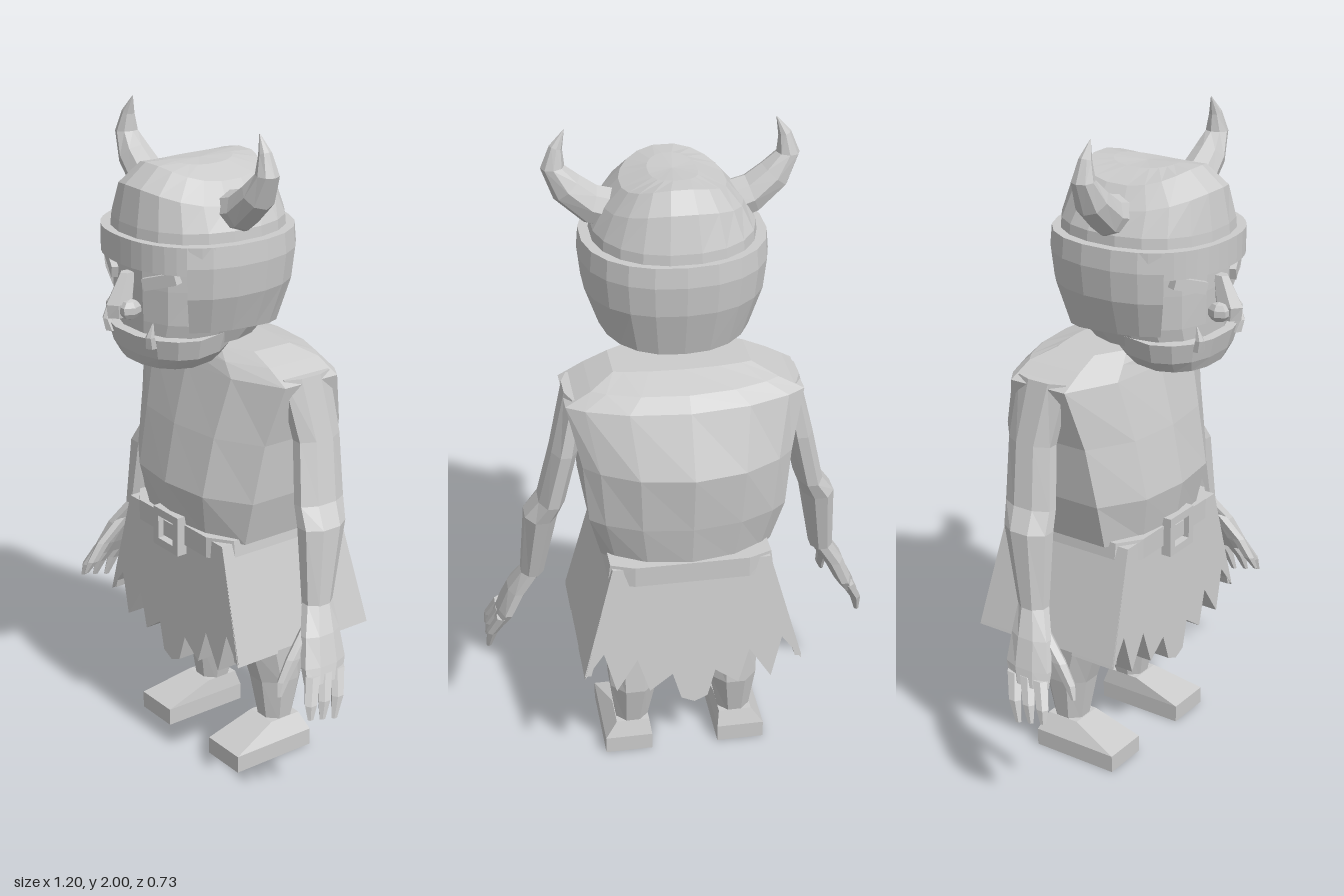
import * as THREE from 'three';

const material = new THREE.MeshStandardMaterial({ color: 0xcccccc, flatShading: true, side: THREE.DoubleSide });

function add(parent, name, geometry) {
  const mesh = new THREE.Mesh(geometry, material);
  mesh.name = name;
  parent.add(mesh);
  return mesh;
}

// Skin a list of equal closed rings, cap both ends and turn the faces outward
function loft(rings) {
  const n = rings[0].length, pos = [], idx = [];
  rings.forEach(r => r.forEach(p => pos.push(...p)));
  for (let i = 0; i < rings.length - 1; i++) for (let j = 0; j < n; j++) {
    const a = i * n + j, b = i * n + (j + 1) % n;
    idx.push(a, a + n, b, b, a + n, b + n);
  }
  [[0, false], [rings.length - 1, true]].forEach(([i, end]) => {
    const c = pos.length / 3;
    pos.push(...[0, 1, 2].map(k => rings[i].reduce((s, p) => s + p[k], 0) / n));
    for (let j = 0; j < n; j++) {
      const a = i * n + j, b = i * n + (j + 1) % n;
      end ? idx.push(c, b, a) : idx.push(c, a, b);
    }
  });
  const v = i => new THREE.Vector3(pos[3 * i], pos[3 * i + 1], pos[3 * i + 2]);
  let volume = 0;
  for (let t = 0; t < idx.length; t += 3) volume += v(idx[t]).dot(v(idx[t + 1]).cross(v(idx[t + 2])));
  if (volume < 0) idx.reverse();
  const g = new THREE.BufferGeometry();
  g.setAttribute('position', new THREE.Float32BufferAttribute(pos, 3));
  g.setIndex(idx);
  const flat = g.toNonIndexed();
  flat.computeVertexNormals();
  return flat;
}

// Horizontal oval ring; power below 1 makes it boxier
function oval(x, y, z, rx, rz, n = 8, power = 1) {
  const f = c => Math.sign(c) * Math.abs(c) ** power;
  return Array.from({ length: n }, (_, i) => {
    const t = (i + 0.5) / n * Math.PI * 2;
    return [x + rx * f(Math.cos(t)), y, z + rz * f(Math.sin(t))];
  });
}
const limb = (rows, s = 1, n = 8) => loft(rows.map(([x, y, z, rx, rz]) => oval(s * x, y, z, rx, rz, n)));
const rect = (x0, x1, y, z0, z1) => [[x0, y, z0], [x1, y, z0], [x1, y, z1], [x0, y, z1]];

function buildTorso(root) {
  // y, half width, front, side front, side back, back
  const rows = [
    [0.77, 0.255, 0.15, 0.07, -0.20, -0.31], [0.91, 0.29, 0.175, 0.07, -0.23, -0.335],
    [1.09, 0.305, 0.14, 0.04, -0.23, -0.36], [1.27, 0.345, 0.095, 0, -0.19, -0.285],
    [1.31, 0.27, 0.085, 0, -0.18, -0.25], [1.34, 0.2, 0.07, 0, -0.13, -0.15]];
  add(root, 'torso', loft(rows.map(([y, w, f, sf, sb, b]) => {
    const half = [[0.55 * w, f - 0.02], [w, sf], [w, sb], [0.85 * w, sb + (b - sb) * 0.35], [0.5 * w, sb + (b - sb) * 0.8]];
    return [[0, y, f], ...half.map(([x, z]) => [x, y, z]), [0, y, b],
      ...half.reverse().map(([x, z]) => [-x, y, z])];
  })));
  add(root, 'neck', limb([[0, 1.25, -0.03, 0.07, 0.06], [0, 1.42, 0.03, 0.06, 0.06]]));
}

function buildSkirt(root) {
  // Ragged panels, cut deep into the hem
  const teeth = [[0.33, 0.42], [0.27, 0.5], [0.235, 0.37], [0.17, 0.47], [0.135, 0.36], [0.065, 0.41], [0.04, 0.325]];
  const outline = [[0.235, 0.775], ...teeth, [0, 0.308], ...teeth.map(([x, y]) => [-x, y]).reverse(), [-0.235, 0.775]];
  const panel = (name, zIn, outer) => {
    const shape = new THREE.Shape(outline.map(p => new THREE.Vector2(...p)));
    const g = new THREE.ExtrudeGeometry(shape, { depth: 1, bevelEnabled: false });
    const p = g.attributes.position;
    for (let i = 0; i < p.count; i++) {
      const k = p.getZ(i), zOut = outer(p.getY(i));
      p.setZ(i, zIn < -0.1 ? zOut + (zIn - zOut) * k : zIn + (zOut - zIn) * k);
    }
    g.computeVertexNormals();
    add(root, name, g);
  };
  panel('skirtFront', 0, y => 0.14 + (0.775 - y) * 0.035);
  panel('skirtBack', -0.19, y => -0.305 - (0.775 - y) * 0.125);
  for (const s of [1, -1]) add(root, 'skirtSide', loft([
    rect(s * 0.31, s * 0.33, 0.43, -0.347, 0.15), rect(s * 0.215, s * 0.235, 0.775, -0.305, 0.14)]));
  // Belt and buckle
  add(root, 'belt', loft([[0.72, 0.248], [0.785, 0.24]].map(([y, w]) => [
    [w, y, 0.1], [0.17, y, 0.15], [-0.17, y, 0.15], [-w, y, 0.1], [-w, y, -0.29], [-0.17, y, -0.318], [0.17, y, -0.318], [w, y, -0.29]])));
  const square = (T, r) => new T([[-r, -r], [r, -r], [r, r], [-r, r]].map(p => new THREE.Vector2(...p)));
  const frame = square(THREE.Shape, 0.062);
  frame.holes.push(square(THREE.Path, 0.037));
  add(root, 'buckle', new THREE.ExtrudeGeometry(frame, { depth: 0.035, bevelEnabled: false })).position.set(0, 0.75, 0.14);
  add(root, 'bucklePlate', new THREE.BoxGeometry(0.05, 0.05, 0.03)).position.set(0, 0.75, 0.15);
}

function buildLimbs(root, s) {
  add(root, 'arm', limb([
    [0.31, 1.285, -0.095, 0.035, 0.09], [0.347, 1.1, -0.115, 0.042, 0.08], [0.388, 0.92, -0.095, 0.042, 0.085],
    [0.42, 0.86, -0.08, 0.052, 0.08], [0.45, 0.63, -0.045, 0.037, 0.05]], s));
  const hand = new THREE.Group();
  hand.name = 'hand';
  root.add(hand);
  add(hand, 'palm', limb([[0.45, 0.635, -0.045, 0.035, 0.05], [0.495, 0.56, -0.02, 0.033, 0.068],
    [0.53, 0.48, -0.005, 0.028, 0.08], [0.55, 0.435, 0.01, 0.022, 0.07]], s));
  for (const i of [0, 1, 2]) add(hand, 'finger', limb([
    [0.545, 0.46, -0.045 + i * 0.046, 0.022, 0.026], [0.58, 0.39, -0.02 + i * 0.05, 0.018, 0.021],
    [0.592, 0.325 + i * 0.012, 0.0 + i * 0.045, 0.008, 0.01]], s, 6));
  add(hand, 'thumb', limb([[0.475, 0.58, 0.0, 0.02, 0.03], [0.49, 0.5, 0.075, 0.018, 0.025],
    [0.495, 0.44, 0.115, 0.015, 0.02], [0.505, 0.4, 0.135, 0.006, 0.008]], s, 6));
  add(root, 'leg', limb([[0.16, 0.6, -0.1, 0.085, 0.105], [0.16, 0.37, -0.105, 0.082, 0.105],
    [0.158, 0.24, -0.13, 0.078, 0.085], [0.163, 0.09, -0.125, 0.052, 0.053]], s));
  add(root, 'boot', loft([rect(s * 0.105, s * 0.252, 0, -0.195, 0.09), rect(s * 0.105, s * 0.252, 0.055, -0.195, 0.09),
    rect(s * 0.112, s * 0.215, 0.105, -0.178, -0.07)]));
}

function buildFace(head) {
  add(head, 'face', loft([
    oval(0, 1.38, 0.09, 0.18, 0.19, 16, 0.85), oval(0, 1.45, 0.06, 0.215, 0.225, 16, 0.85),
    oval(0, 1.55, 0.05, 0.225, 0.24, 16, 0.85), oval(0, 1.68, 0.05, 0.23, 0.24, 16, 0.85)]));
  // Jutting lower jaw, rising toward the neck
  add(head, 'jaw', loft([[1.315, 0.15, 0.135], [1.35, 0.182, 0.15], [1.41, 0.2, 0.165]].map(([y, rx, rz]) =>
    oval(0, y, 0.145, rx, rz, 16, 0.85).map(([x, yy, z]) => [x, yy + Math.max(0, 0.14 - z) * 0.25, z]))));
  add(head, 'noseBridge', limb([[0, 1.46, 0.32, 0.026, 0.045], [0, 1.5, 0.325, 0.032, 0.045], [0, 1.585, 0.295, 0.018, 0.025]], 1, 6));
  for (const s of [1, -1]) {
    const nostril = add(head, 'nostril', new THREE.SphereGeometry(0.027, 6, 5));
    nostril.position.set(s * 0.033, 1.485, 0.312);
    nostril.scale.set(1, 1.1, 1.3);
    const eye = add(head, 'eye', new THREE.BoxGeometry(0.11, 0.035, 0.03));
    eye.position.set(s * 0.118, 1.58, 0.264);
    eye.rotation.set(0, s * 0.42, s * 0.3, 'YXZ');
    add(head, 'tusk', limb([[0.1, 1.385, 0.288, 0.02, 0.018], [0.108, 1.42, 0.297, 0.014, 0.014], [0.112, 1.46, 0.29, 0.002, 0.002]], s, 6));
  }
}

function buildHelmet(head) {
  // Dome with a crown arched from side to side
  const arch = (ring, drop) => ring.map(([x, y, z]) => [x, y - drop * x * x, z]);
  add(head, 'dome', loft([oval(0, 1.66, 0.05, 0.24, 0.25, 20, 0.9), oval(0, 1.72, 0.05, 0.235, 0.245, 20, 0.9),
    arch(oval(0, 1.825, 0.055, 0.2, 0.222, 20, 0.9), 1.1), arch(oval(0, 1.88, 0.045, 0.15, 0.165, 20, 0.85), 1.8),
    arch(oval(0, 1.88, 0.045, 0.07, 0.1, 20, 0.85), 1.8)]));
  // Shell slices: angle 0 is the front; rows run down the outside, then up the inside
  const slice = (deg, rows) => {
    const a = deg * Math.PI / 180, f = c => Math.sign(c) * Math.abs(c) ** 0.88;
    return rows.map(([y, r]) => [r * f(Math.sin(a)), y, 0.052 + r * f(Math.cos(a))]);
  };
  const sweep = (from, to, rowsAt) => loft(Array.from({ length: 17 }, (_, i) => {
    const d = from + (to - from) * i / 16;
    return slice(d, rowsAt(d));
  }));
  add(head, 'browBand', sweep(-66, 66, () => [[1.69, 0.267], [1.61, 0.267], [1.61, 0.235], [1.69, 0.235]]));
  add(head, 'helmetGuard', sweep(48, 312, d => {
    const low = 1.43 - 0.03 * Math.max(0, -Math.cos(d * Math.PI / 180));
    return [[1.69, 0.267], [1.63, 0.272], [1.54, 0.262], [low, 0.222], [low, 0.19], [1.54, 0.225], [1.69, 0.235]];
  }));
  // Horns: x, y, radius and heading of each ring
  const rows = [[0.15, 1.75, 0.062, 0.2], [0.23, 1.775, 0.058, 0.35], [0.295, 1.83, 0.05, 0.85],
    [0.333, 1.893, 0.034, 1.5], [0.322, 1.95, 0.019, 1.9], [0.298, 2, 0.001, 2.0]];
  for (const s of [1, -1]) add(head, 'horn', loft(rows.map(([x, y, r, a]) =>
    Array.from({ length: 8 }, (_, i) => {
      const t = i / 4 * Math.PI, u = r * Math.cos(t);
      return [s * (x - Math.sin(a) * u), y + Math.cos(a) * u, 0.065 + r * Math.sin(t)];
    }))));
}

export function createModel() {
  const root = new THREE.Group();
  root.name = 'hornedCreature';
  buildTorso(root);
  buildSkirt(root);
  for (const s of [1, -1]) {
    const side = new THREE.Group();
    side.name = s > 0 ? 'leftLimbs' : 'rightLimbs';
    root.add(side);
    buildLimbs(side, s);
  }
  const head = new THREE.Group();
  head.name = 'head';
  root.add(head);
  buildFace(head);
  buildHelmet(head);
  return root;
}
